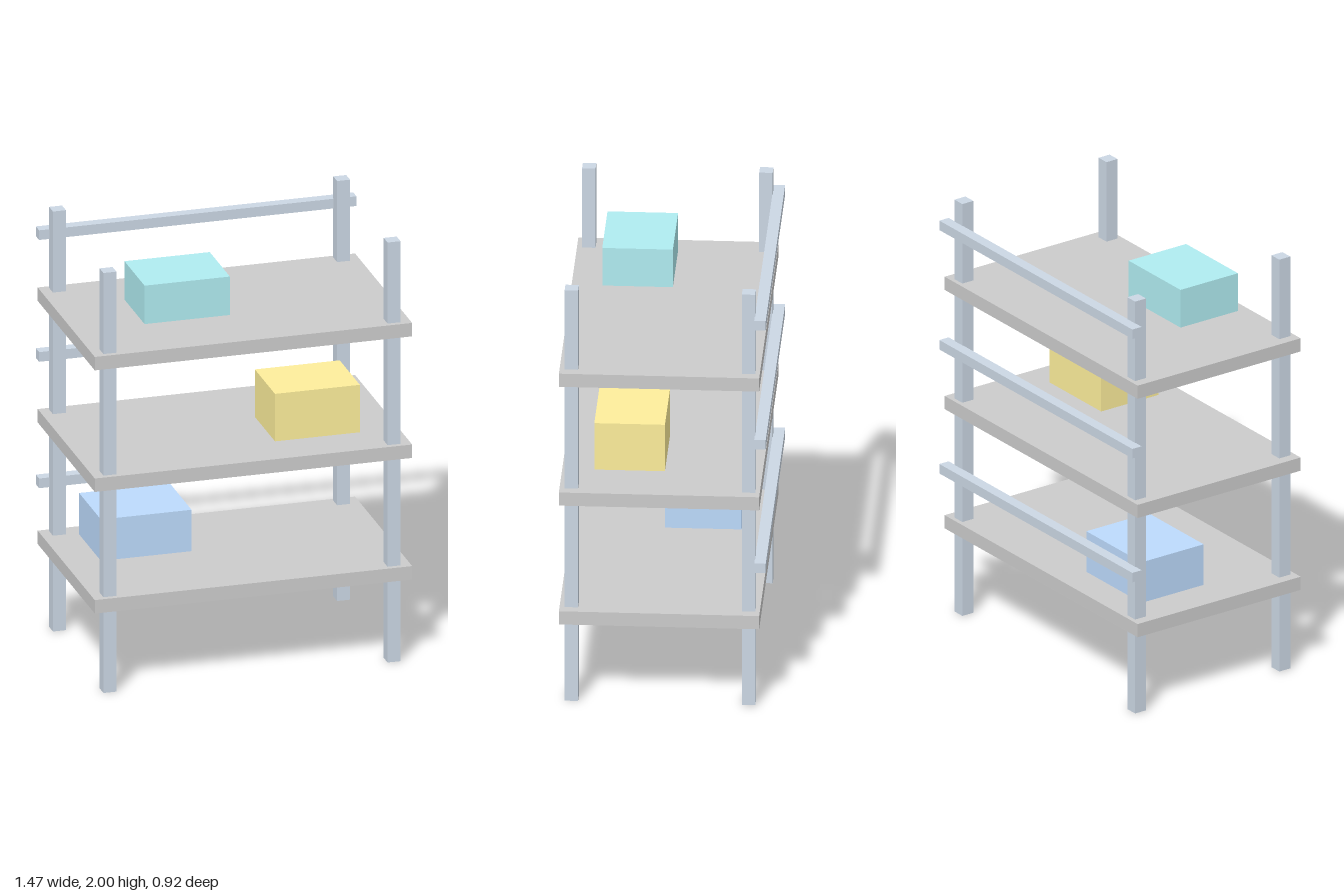
import * as THREE from 'three';

const mat = (color) => new THREE.MeshStandardMaterial({ color });
const steel = mat(0xcbd7e4);
const board = mat(0xcccccc);

// Box given by its minimum and maximum corners
function block(name, [x0, y0, z0], [x1, y1, z1], material) {
  const mesh = new THREE.Mesh(new THREE.BoxGeometry(x1 - x0, y1 - y0, z1 - z0), material);
  mesh.position.set((x0 + x1) / 2, (y0 + y1) / 2, (z0 + z1) / 2);
  mesh.name = name;
  return mesh;
}

export function createModel() {
  const rack = new THREE.Group();
  rack.name = 'storageRack';
  const halfWidth = 0.735;

  // Four square posts
  const r = 0.03;
  for (const [side, x] of [['left', 0.658], ['right', -0.658]]) {
    for (const [end, z] of [['Front', 0.407], ['Back', -0.381]]) {
      rack.add(block(`${side}${end}Post`, [x - r, 0, z - r], [x + r, 2, z + r], steel));
    }
  }

  // Shelf boards, each with a rail behind the back posts
  const levels = [
    { name: 'lower', shelf: 0.424, rail: 0.689 },
    { name: 'middle', shelf: 1.003, rail: 1.291 },
    { name: 'upper', shelf: 1.582, rail: 1.871 },
  ];
  for (const { name, shelf, rail } of levels) {
    rack.add(block(`${name}Shelf`, [-halfWidth, shelf - 0.032, -0.431], [halfWidth, shelf + 0.032, 0.46], board));
    rack.add(block(`${name}BackRail`, [-halfWidth, rail - 0.023, -0.46], [halfWidth, rail + 0.023, -0.409], steel));
  }

  // Stored boxes, hovering slightly above their shelves
  rack.add(block('blueBox', [-0.582, 0.47, -0.3], [-0.162, 0.667, 0.04], mat(0xbcdafc)));
  rack.add(block('yellowBox', [0.143, 1.061, 0], [0.536, 1.287, 0.314], mat(0xfdee9b)));
  rack.add(block('tealBox', [-0.461, 1.686, 0], [-0.066, 1.869, 0.314], mat(0xb0ecf1)));

  return rack;
}
